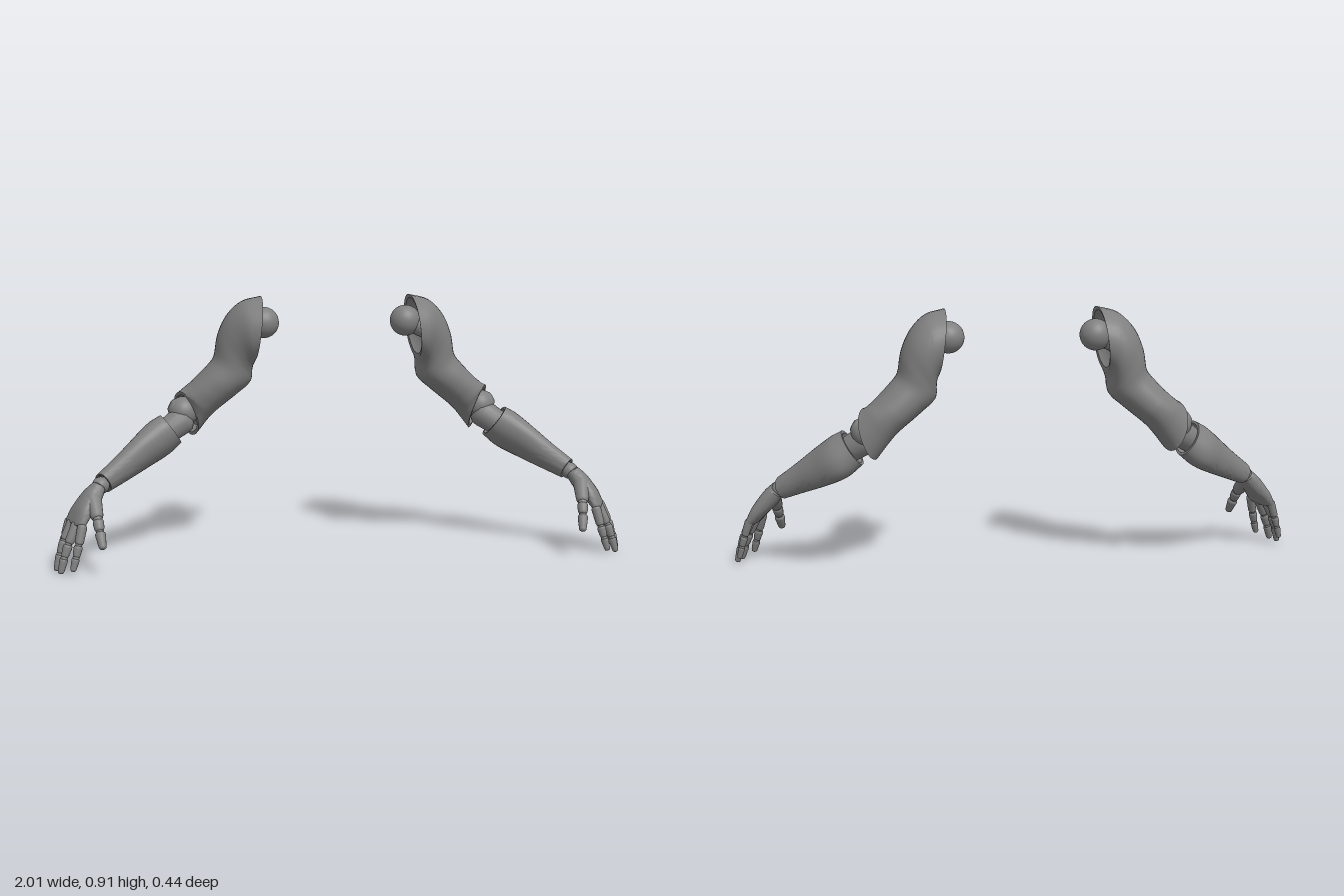
import * as THREE from 'three';
import { toCreasedNormals } from 'three/addons/utils/BufferGeometryUtils.js';

const V = (x, y, z) => new THREE.Vector3(x, y, z);
const SUB = 5, SIDES = 36;

// Smooth loft through rounded sections [centre, half-axis a, half-axis b].
// Caps are lists of [scale, offset along the section normal], from rim to middle.
// A power below 1 makes the sections squarer than an ellipse.
function loft(sections, startCap, endCap, power = 1) {
  const curves = [0, 1, 2].map(k => new THREE.CatmullRomCurve3(sections.map(s => s[k])));
  const rings = [];
  const steps = (sections.length - 1) * SUB;
  for (let i = 0; i <= steps; i++) rings.push(curves.map(c => c.getPoint(i / steps)));
  const cap = ([c, a, b], list) => {
    const n = V().crossVectors(a, b).normalize();
    return list.map(([s, o]) => [c.clone().addScaledVector(n, o), a.clone().multiplyScalar(s), b.clone().multiplyScalar(s)]);
  };
  const all = [...cap(rings[0], startCap).reverse(), ...rings, ...cap(rings[steps], endCap)];
  const bend = v => Math.sign(v) * Math.abs(v) ** power;
  const pos = [], idx = [];
  all.forEach(([c, a, b], i) => {
    for (let j = 0; j < SIDES; j++) {
      const t = j / SIDES * Math.PI * 2;
      const p = c.clone().addScaledVector(a, bend(Math.cos(t))).addScaledVector(b, bend(Math.sin(t)));
      pos.push(p.x, p.y, p.z);
      if (i === all.length - 1) continue;
      const p0 = i * SIDES + j, p1 = i * SIDES + (j + 1) % SIDES;
      idx.push(p0, p1, p0 + SIDES, p1, p1 + SIDES, p0 + SIDES);
    }
  });
  const g = new THREE.BufferGeometry();
  g.setAttribute('position', new THREE.Float32BufferAttribute(pos, 3));
  g.setIndex(idx);
  return toCreasedNormals(g, 0.8);
}

// Rounded, tapered segment from p to q
function segment(p, q, r0, r1) {
  const len = p.distanceTo(q);
  const profile = [
    [0.001, 0], [r0 * 0.7, 0.001], [r0 * 0.95, r0 * 0.3], [r0, r0 * 0.7],
    [r1, len - r1 * 0.7], [r1 * 0.85, len - r1 * 0.3], [r1 * 0.55, len - 0.001], [0.001, len],
  ].map(([x, y]) => new THREE.Vector2(x, y));
  const g = new THREE.LatheGeometry(profile, 18);
  g.applyQuaternion(new THREE.Quaternion().setFromUnitVectors(V(0, 1, 0), q.clone().sub(p).normalize()));
  return g.translate(p.x, p.y, p.z);
}

function ball(x, y, z, r) {
  return new THREE.SphereGeometry(r, 32, 20).translate(x, y, z);
}

// Mirror a geometry across x = 0 and restore its winding
function mirrored(geometry) {
  const g = geometry.index ? geometry.toNonIndexed() : geometry.clone();
  g.scale(-1, 1, 1);
  for (const name of ['position', 'normal']) {
    const at = g.attributes[name];
    for (let i = 0; i < at.count; i += 3) {
      const p = V().fromBufferAttribute(at, i + 1), q = V().fromBufferAttribute(at, i + 2);
      at.setXYZ(i + 1, q.x, q.y, q.z);
      at.setXYZ(i + 2, p.x, p.y, p.z);
    }
  }
  return g;
}

// All parts of the left arm as [name, geometry]
function armParts() {
  const parts = [];
  const add = (name, g) => parts.push([name, g]);
  const axes = ([cx, cy, cz, ax, ay, az, bx, by, bz]) => [V(cx, cy, cz), V(ax, ay, az), V(bx, by, bz)];

  // Upper arm: outer x,y, inner x,y, front z, back z
  const upper = [
    [0.265, 0.915, 0.292, 0.690, 0.063, -0.222],
    [0.332, 0.897, 0.296, 0.675, 0.050, -0.224],
    [0.386, 0.845, 0.298, 0.655, 0.022, -0.222],
    [0.418, 0.775, 0.298, 0.632, 0.003, -0.214],
    [0.432, 0.700, 0.308, 0.608, -0.003, -0.211],
    [0.465, 0.658, 0.345, 0.575, -0.006, -0.216],
    [0.508, 0.615, 0.390, 0.538, -0.018, -0.220],
    [0.537, 0.590, 0.440, 0.495, -0.033, -0.216],
  ].map(([xo, yo, xi, yi, zf, zb]) => axes([
    (xo + xi) / 2, (yo + yi) / 2, (zf + zb) / 2,
    (xo - xi) / 2, (yo - yi) / 2, 0, 0, 0, (zf - zb) / 2]));
  upper.push(axes([0.53, 0.498, -0.125, 0.032, 0.075, 0, -0.022, 0.032, 0.075]));
  add('upperArm', loft(upper,
    [[0.88, 0.003], [0.76, 0.03], [0.5, 0.042], [0.001, 0.045]],
    [[0.86, 0], [0.72, -0.03], [0.001, -0.035]], 0.92));

  // Shoulder and elbow joints
  add('shoulderBall', ball(0.255, 0.82, -0.1, 0.055));
  add('shoulderPeg', segment(V(0.26, 0.82, -0.1), V(0.35, 0.78, -0.09), 0.035, 0.035));
  add('elbowBall', ball(0.54, 0.505, -0.13, 0.053));
  add('elbowCap', segment(V(0.54, 0.505, -0.13), V(0.588, 0.531, -0.13), 0.036, 0.034));
  add('elbowHinge', segment(V(0.525, 0.49, -0.125), V(0.63, 0.42, -0.09), 0.05, 0.045));

  // Forearm
  add('forearm', loft([
    [0.588, 0.447, -0.1, 0.037, 0.05, 0, 0, 0.018, 0.073],
    [0.635, 0.413, -0.09, 0.036, 0.058, 0.01, -0.02, 0.025, 0.075],
    [0.695, 0.373, -0.052, 0.031, 0.05, 0.01, -0.025, 0.03, 0.06],
    [0.76, 0.33, -0.01, 0.025, 0.04, 0.005, -0.022, 0.025, 0.043],
    [0.828, 0.287, 0.028, 0.021, 0.03, 0, -0.015, 0.018, 0.032],
  ].map(axes), [[0.86, 0], [0.75, 0.025], [0.001, 0.03]], [[0.85, 0], [0.75, -0.01], [0.001, -0.012]], 0.92));

  // Wrist and palm
  add('wristBall', ball(0.837, 0.28, 0.034, 0.03));
  add('palm', loft([
    [0.845, 0.277, 0.043, 0.02, 0.015, 0, -0.008, 0.012, 0.037],
    [0.87, 0.245, 0.062, 0.025, 0.02, 0, -0.015, 0.01, 0.049],
    [0.905, 0.2, 0.083, 0.023, 0.016, 0, -0.022, 0.008, 0.062],
    [0.927, 0.163, 0.094, 0.017, 0.01, 0, -0.025, 0.003, 0.064],
  ].map(axes), [[0.8, -0.004], [0.001, -0.006]], [[0.85, 0.006], [0.001, 0.008]], 0.8));

  // Fingers: knuckle, bend control point, tip, thickness
  const fingers = [
    ['indexFinger', V(0.901, 0.17, 0.145), V(0.918, 0.09, 0.172), V(0.938, 0.017, 0.185), 0.017],
    ['middleFinger', V(0.92, 0.17, 0.113), V(0.96, 0.09, 0.138), V(0.98, 0.002, 0.15), 0.018],
    ['ringFinger', V(0.936, 0.17, 0.078), V(0.976, 0.1, 0.094), V(0.995, 0.002, 0.107), 0.017],
    ['littleFinger', V(0.946, 0.17, 0.045), V(0.97, 0.1, 0.051), V(0.986, 0.028, 0.056), 0.015],
  ];
  for (const [name, k, m, t, r] of fingers) {
    const curve = new THREE.QuadraticBezierCurve3(k, m, t);
    const at = [0, 0.43, 0.7, 1].map(u => curve.getPoint(u));
    for (let i = 0; i < 3; i++) {
      add(name + 'Segment', segment(at[i], at[i + 1], r * (1 - 0.1 * i), r * (0.9 - 0.15 * i)));
      if (i) add(name + 'Joint', ball(...at[i].toArray(), r * 0.7));
    }
  }

  // Thumb
  const thumb = [V(0.868, 0.255, 0.075), V(0.85, 0.187, 0.155), V(0.844, 0.15, 0.18), V(0.835, 0.097, 0.212)];
  [[0.03, 0.022], [0.019, 0.017], [0.018, 0.013]].forEach(([r0, r1], i) =>
    add('thumbSegment', segment(thumb[i], thumb[i + 1], r0, r1)));
  add('thumbJoint', ball(...thumb[1].toArray(), 0.016));
  add('thumbTipJoint', ball(...thumb[2].toArray(), 0.013));
  return parts;
}

export function createModel() {
  const model = new THREE.Group();
  model.name = 'armPair';
  const material = new THREE.MeshStandardMaterial({ color: 0x808080 });
  const left = new THREE.Group(), right = new THREE.Group();
  left.name = 'leftArm';
  right.name = 'rightArm';
  for (const [name, geometry] of armParts()) {
    for (const [arm, g] of [[left, geometry], [right, mirrored(geometry)]]) {
      const mesh = new THREE.Mesh(g, material);
      mesh.name = name;
      arm.add(mesh);
    }
  }
  model.add(left, right);
  return model;
}
